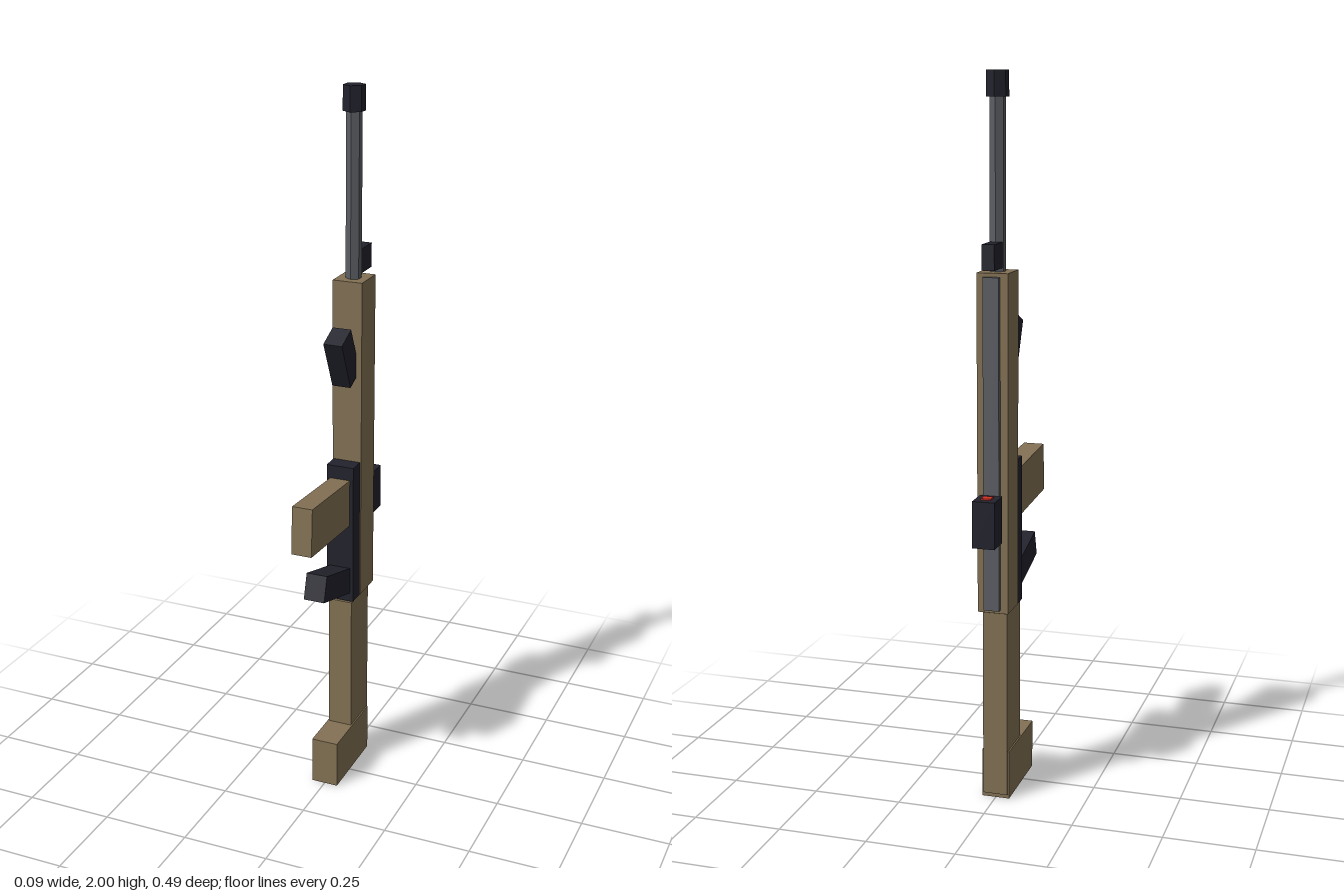
import * as THREE from 'three';

const material = (name, color) => {
  const m = new THREE.MeshStandardMaterial({ color });
  m.name = name;
  return m;
};

export function createModel() {
  const tan = material('tan', 0x837154);
  const dark = material('charcoal', 0x21222c);
  const steel = material('steel grey', 0x5b5d63);
  const red = material('red', 0xd03024);
  const group = new THREE.Group();
  group.name = 'rifle';

  // Upright box given by half width and its y and z ranges
  const block = (name, mat, halfX, [y0, y1], [z0, z1]) => {
    const mesh = new THREE.Mesh(new THREE.BoxGeometry(halfX * 2, y1 - y0, z1 - z0), mat);
    mesh.position.set(0, (y0 + y1) / 2, (z0 + z1) / 2);
    mesh.name = name;
    group.add(mesh);
  };

  // Box tilted about the x axis
  const tilted = (name, mat, size, y, z, angle) => {
    const mesh = new THREE.Mesh(new THREE.BoxGeometry(...size), mat);
    mesh.position.set(0, y, z);
    mesh.rotation.x = angle;
    mesh.name = name;
    group.add(mesh);
  };

  // Six-sided tube along y
  const hexTube = (name, mat, rTop, rBottom, y0, y1) => {
    const geometry = new THREE.CylinderGeometry(rTop, rBottom, y1 - y0, 6).toNonIndexed();
    geometry.computeVertexNormals();
    const mesh = new THREE.Mesh(geometry, mat);
    mesh.position.set(0, (y0 + y1) / 2, -0.111);
    mesh.name = name;
    group.add(mesh);
  };

  // Stock and butt
  block('stock', tan, 0.035, [0.012, 0.545], [-0.144, -0.018]);
  block('butt', tan, 0.039, [0, 0.14], [-0.139, 0.097]);

  // Receiver and top rail
  block('upperReceiver', tan, 0.043, [0.552, 1.482], [-0.163, -0.066]);
  block('lowerReceiver', dark, 0.04, [0.55, 0.963], [-0.067, -0.017]);
  block('rail', steel, 0.022, [0.562, 1.472], [-0.177, -0.162]);

  // Barrel and muzzle
  hexTube('barrel', steel, 0.022, 0.022, 1.45, 1.95);
  hexTube('muzzle', dark, 0.03, 0.031, 1.932, 2);

  // Sights
  block('frontSight', dark, 0.017, [1.492, 1.56], [-0.198, -0.122]);
  block('opticSight', dark, 0.031, [0.757, 0.886], [-0.247, -0.176]);
  block('opticLens', red, 0.0135, [0.883, 0.89], [-0.226, -0.198]);

  // Parts hanging off the front
  tilted('foregrip', dark, [0.054, 0.15, 0.07], 1.278, -0.028, 0.42);
  tilted('magazine', tan, [0.059, 0.137, 0.29], 0.863, 0.099, -0.061);
  tilted('pistolGrip', dark, [0.061, 0.075, 0.22], 0.635, 0.051, -0.285);

  return group;
}
